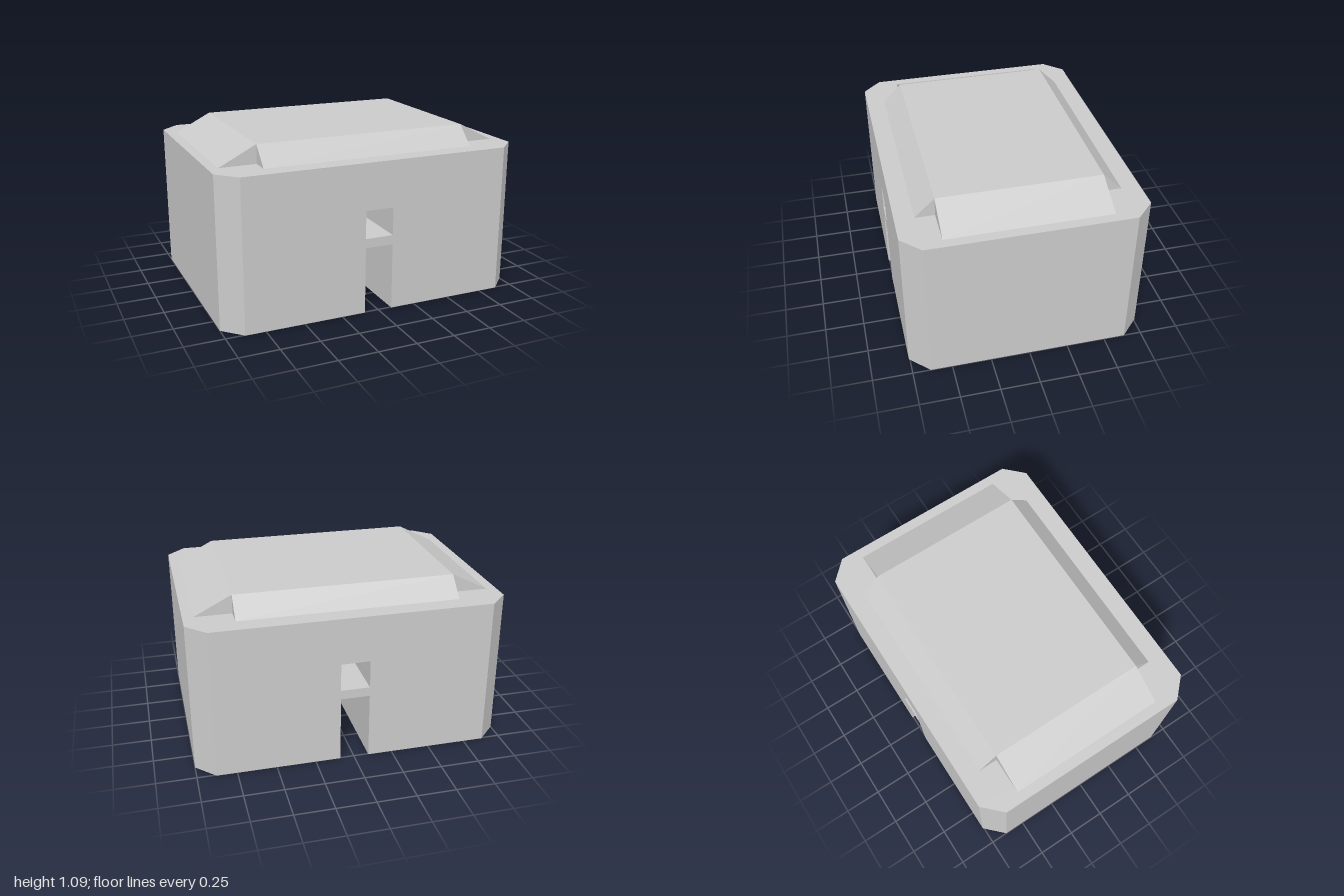
import * as THREE from 'three';

const H = 0.97, X = 1, Z = 0.757, CX = 0.88, CZ = 0.637; // wall height, half sizes, chamfer starts
const L = -0.095, R = 0.09; // passage sides

export function createModel() {
  const group = new THREE.Group();
  const material = new THREE.MeshStandardMaterial({ color: 0xcccccc, side: THREE.DoubleSide, flatShading: true });

  const add = (name, geometry) => {
    const mesh = new THREE.Mesh(geometry, material);
    mesh.name = name;
    group.add(mesh);
    return mesh;
  };
  const shape = (pts) => new THREE.Shape(pts.map(([x, y]) => new THREE.Vector2(x, y)));

  // Flat quad from four corners, counter-clockwise from its front
  const quad = (name, a, b, c, d) => {
    const g = new THREE.BufferGeometry();
    g.setAttribute('position', new THREE.Float32BufferAttribute([...a, ...b, ...c, ...d], 3));
    g.setIndex([0, 1, 2, 0, 2, 3]);
    g.computeVertexNormals();
    return add(name, g);
  };

  // Long walls with a door notch and a window hole above it
  for (const side of [1, -1]) {
    const wall = shape([[-CX, 0], [L, 0], [L, 0.43], [R, 0.43], [R, 0], [CX, 0], [CX, H], [-CX, H]]);
    wall.holes.push(shape([[L, 0.49], [L, 0.67], [R, 0.67], [R, 0.49]]));
    const g = new THREE.ShapeGeometry(wall);
    if (side < 0) { // reverse the winding so the back wall faces outward
      const index = Array.from(g.index.array).reverse();
      g.setIndex(index);
      g.computeVertexNormals();
    }
    add(side > 0 ? 'frontWall' : 'backWall', g).position.z = side * Z;
  }

  // End walls and chamfered corners, following the plan; the long walls are skipped
  const plan = [[CX, Z], [X, CZ], [X, -CZ], [CX, -Z], [-CX, -Z], [-X, -CZ], [-X, CZ], [-CX, Z]];
  const names = ['frontLeftCorner', 'leftWall', 'backLeftCorner', null, 'backRightCorner', 'rightWall', 'frontRightCorner', null];
  names.forEach((name, i) => {
    if (!name) return;
    const [ax, az] = plan[i], [bx, bz] = plan[(i + 1) % 8];
    quad(name, [ax, 0, az], [bx, 0, bz], [bx, H, bz], [ax, H, az]);
  });

  // Flat roof deck closing the walls
  const deck = new THREE.ShapeGeometry(shape(plan.map(([x, z]) => [x, -z])));
  deck.rotateX(-Math.PI / 2);
  add('roofDeck', deck).position.y = H;

  // Open passages running from front to back, seen into from both ends
  const passage = (name, y0, y1, hasFloor) => {
    quad(name + 'RightSide', [L, y0, Z], [L, y0, -Z], [L, y1, -Z], [L, y1, Z]);
    quad(name + 'LeftSide', [R, y0, -Z], [R, y0, Z], [R, y1, Z], [R, y1, -Z]);
    quad(name + 'Ceiling', [L, y1, -Z], [R, y1, -Z], [R, y1, Z], [L, y1, Z]);
    if (hasFloor) quad(name + 'Floor', [L, y0, Z], [R, y0, Z], [R, y0, -Z], [L, y0, -Z]);
  };
  passage('doorPassage', 0, 0.43, false);
  passage('windowPassage', 0.49, 0.67, true);

  // Raised roof: two crossing trapezoid prisms that leave the corners notched
  const prism = (halfBase, halfTop, depth) => {
    const g = new THREE.ExtrudeGeometry(
      shape([[-halfBase, H], [halfBase, H], [halfTop, 1.09], [-halfTop, 1.09]]),
      { depth, bevelEnabled: false });
    return g.translate(0, 0, -depth / 2);
  };
  add('raisedRoofWithEndSlopes', prism(0.935, 0.7, 1.03));
  add('raisedRoofWithLongSlopes', prism(0.637, 0.515, 1.4).rotateY(Math.PI / 2));

  return group;
}
